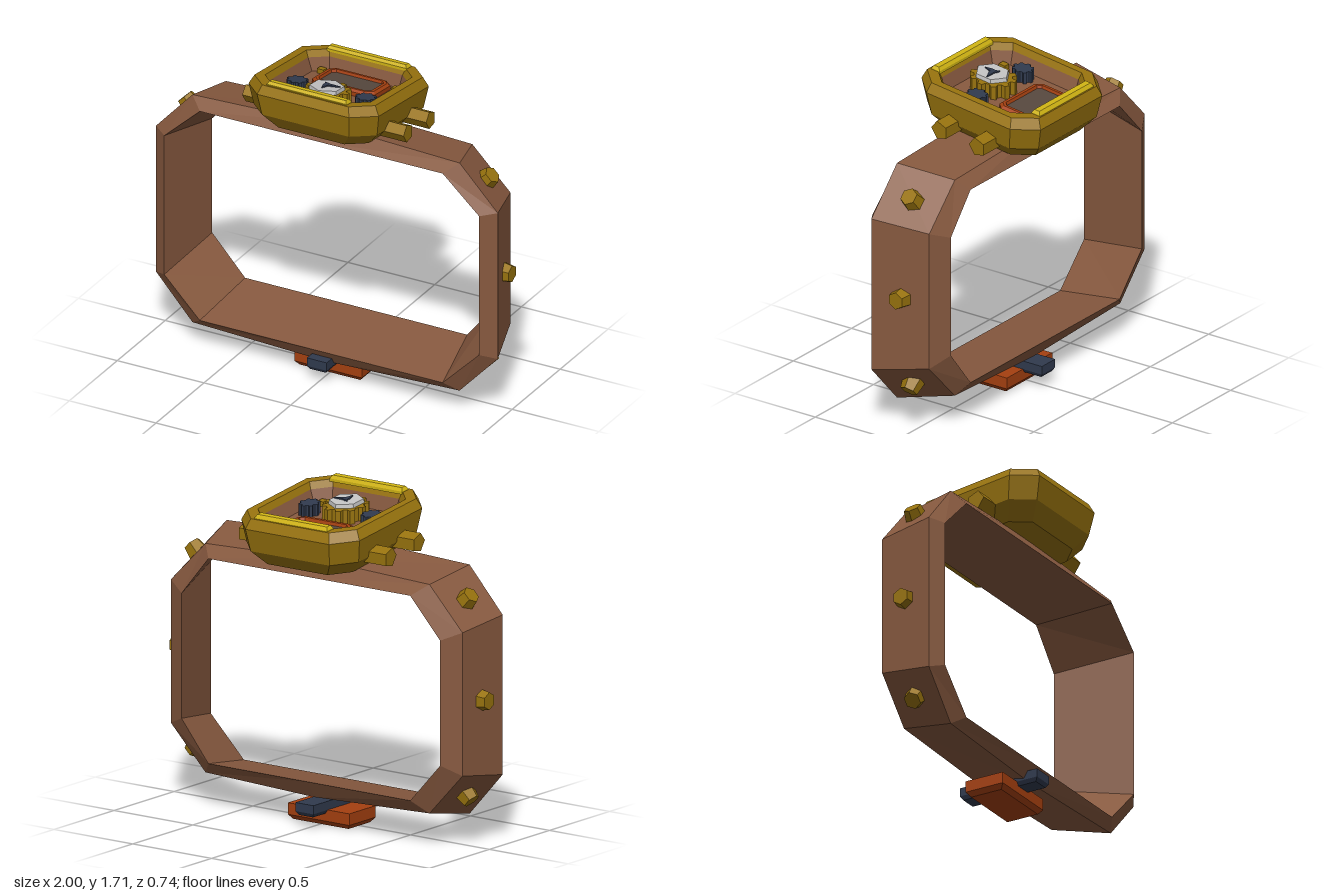
import * as THREE from 'three';

const mat = (name, color) => {
  const m = new THREE.MeshStandardMaterial({ color });
  m.name = name;
  return m;
};

// Flat-faced skin over rings of points; optional end caps, or joined last to first
function loft(rings, { bottom = false, top = false, loop = false } = {}) {
  const pos = [];
  const tri = (...pts) => pts.forEach(p => pos.push(...p));
  const n = rings[0].length, last = rings.length - 1;
  for (let i = 0; i < (loop ? last + 1 : last); i++) {
    const r = rings[i], s = rings[(i + 1) % rings.length];
    for (let j = 0; j < n; j++) {
      const k = (j + 1) % n;
      tri(r[j], r[k], s[k]);
      tri(r[j], s[k], s[j]);
    }
  }
  for (let j = 1; j < n - 1; j++) {
    if (bottom) tri(rings[0][0], rings[0][j + 1], rings[0][j]);
    if (top) tri(rings[last][0], rings[last][j], rings[last][j + 1]);
  }
  const g = new THREE.BufferGeometry();
  g.setAttribute('position', new THREE.Float32BufferAttribute(pos, 3));
  g.computeVertexNormals();
  return g;
}

// Rectangle ring at height y, with corners cut by c
function ring(hx, hz, c, y) {
  if (!c) return [[hx, y, hz], [hx, y, -hz], [-hx, y, -hz], [-hx, y, hz]];
  const a = hx - c, b = hz - c;
  return [[hx, y, b], [hx, y, -b], [a, y, -hz], [-a, y, -hz],
    [-hx, y, -b], [-hx, y, b], [-a, y, hz], [a, y, hz]];
}

// Toothed wheel lying flat with its base at y = 0
function wheel(teeth, rIn, rOut, h) {
  const pts = [];
  for (let i = 0; i < teeth; i++) {
    [[-0.32, rIn], [-0.18, rOut], [0.18, rOut], [0.32, rIn]].forEach(([o, r]) => {
      const a = (i + o) / teeth * Math.PI * 2;
      pts.push(new THREE.Vector2(Math.cos(a) * r, Math.sin(a) * r));
    });
  }
  return new THREE.ExtrudeGeometry(new THREE.Shape(pts), { depth: h, bevelEnabled: false })
    .rotateX(-Math.PI / 2);
}

export function createModel() {
  const model = new THREE.Group();
  model.name = 'wristDevice';
  const leather = mat('brown leather', 0x87593f);
  const brass = mat('dark brass', 0x98730e);
  const yellow = mat('bright yellow', 0xd0b414);
  const rust = mat('rust orange', 0xa54010);
  const glass = mat('dim glass', 0x57483f);
  const navy = mat('navy', 0x303a4e);
  const silver = mat('silver', 0xc4c4c4);

  // The watch head slopes up toward the front
  const slope = new THREE.Matrix4().set(1, 0, 0, 0, 0, 1, 0.13, 0, 0, 0, 1, 0, 0, 0, 0, 1);
  const add = (name, geo, material, sloped = false) => {
    if (geo.index) geo = geo.toNonIndexed();
    if (sloped) geo.applyMatrix4(slope);
    geo.computeVertexNormals();
    const mesh = new THREE.Mesh(geo, material);
    mesh.name = name;
    model.add(mesh);
    return mesh;
  };

  // Strap: ten-point hoops, wider at the front than at the back
  const hoop = (z, l, r, lc, rc, yTop, yBot, yHi, yLo, crown) => [
    [r, yLo, z], [r, yHi, z], [rc, yTop, z], [0, yTop + crown, z], [lc, yTop, z],
    [l, yHi, z], [l, yLo, z], [lc, yBot, z], [0, yBot - crown, z], [rc, yBot, z]];
  add('strap', loft([
    hoop(-0.2, -0.84, 0.8, -0.65, 0.63, 1.305, 0.24, 1.1, 0.45, 0),
    hoop(-0.145, -0.94, 0.91, -0.73, 0.69, 1.365, 0.175, 1.145, 0.4, 0.025),
    hoop(0.15, -0.97, 1.0, -0.76, 0.78, 1.415, 0.12, 1.185, 0.355, 0.028),
    hoop(0.2, -0.895, 0.92, -0.69, 0.71, 1.36, 0.17, 1.17, 0.38, 0),
  ], { loop: true }), leather);

  // Hexagonal studs on the sides and corners
  const up = new THREE.Vector3(0, 1, 0);
  for (const s of [-1, 1]) {
    for (const [x, y, ny] of [[0.955, 0.77, 0], [0.855, 1.275, 1], [0.855, 0.265, -1]]) {
      const dir = new THREE.Vector3(s, ny, 0).normalize();
      const stud = add('strapStud',
        new THREE.CylinderGeometry(0.046, 0.062, 0.09, 6).rotateY(Math.PI / 6), brass);
      stud.quaternion.setFromUnitVectors(up, dir);
      stud.position.set(s * x, y, 0);
    }
  }

  // Clasp under the strap
  add('claspPlate', loft([ring(0.175, 0.09, 0, 0), ring(0.195, 0.11, 0, 0.025),
    ring(0.195, 0.11, 0, 0.085)], { bottom: true, top: true }), rust);
  add('claspBar', loft([ring(0.045, 0.215, 0, 0.065), ring(0.057, 0.228, 0, 0.085),
    ring(0.057, 0.228, 0, 0.13)], { bottom: true, top: true }), navy);

  // Case shell, rim and recessed dial
  add('case', loft([
    ring(0.28, 0.285, 0.09, 1.397), ring(0.355, 0.347, 0.105, 1.475),
    ring(0.375, 0.371, 0.11, 1.595), ring(0.348, 0.348, 0.1, 1.645),
    ring(0.305, 0.3, 0.085, 1.645), ring(0.29, 0.285, 0.08, 1.61),
  ], { bottom: true }), brass, true);
  add('dialBowl', loft([ring(0.29, 0.285, 0.08, 1.61), ring(0.265, 0.265, 0.065, 1.54)],
    { top: true }), leather, true);

  // Bright rails on the front and back of the rim
  for (const z of [-0.315, 0.31]) {
    add('rimRail', loft([ring(0.23, 0.026, 0, 1.635), ring(0.23, 0.026, 0, 1.65),
      ring(0.22, 0.015, 0, 1.666)], { bottom: true, top: true }).translate(0, 0, z), yellow, true);
  }

  // Five-sided pegs on both sides of the case
  for (const s of [-1, 1]) {
    for (const z of [-0.12, 0.115]) {
      add('sidePeg', new THREE.CylinderGeometry(0.05, 0.05, 0.2, 5)
        .rotateZ(-s * Math.PI / 2).translate(s * 0.365, 1.474, z), brass, true);
    }
  }

  // Screen and its frame
  add('screenFrame', loft([ring(0.182, 0.114, 0.035, 1.54), ring(0.182, 0.114, 0.035, 1.562),
    ring(0.168, 0.1, 0.03, 1.575), ring(0.152, 0.085, 0.02, 1.575),
    ring(0.147, 0.08, 0.018, 1.56)]).translate(-0.005, 0, -0.14), rust, true);
  add('screen', loft([ring(0.15, 0.083, 0.02, 1.554), ring(0.15, 0.083, 0.02, 1.56)],
    { top: true }).translate(-0.005, 0, -0.14), glass, true);

  // Corner rivets and side knobs
  for (const s of [-1, 1]) {
    for (const z of [-0.213, 0.205]) {
      add('dialRivet', new THREE.BoxGeometry(0.038, 0.03, 0.038)
        .translate(s * 0.214, 1.55, z), brass, true);
    }
    add('dialKnob', wheel(8, 0.045, 0.056, 0.06).translate(s * 0.197, 1.54, 0.073), navy, true);
  }

  // Gear clock with a silver face and three hands
  add('clockGear', wheel(10, 0.098, 0.12, 0.07).translate(0, 1.54, 0.115), brass, true);
  add('clockFace', new THREE.CylinderGeometry(0.088, 0.092, 0.02, 6)
    .translate(0, 1.62, 0.122), silver, true);
  for (const [angle, length, width] of [[0.12, 0.07, 0.014], [2.5, 0.035, 0.012], [-1.65, 0.055, 0.016]]) {
    const hand = new THREE.Shape([[-0.012, -width], [length * 0.35, -width], [length, 0],
      [length * 0.35, width * 0.6], [-0.012, width * 0.6]].map(p => new THREE.Vector2(...p)));
    add('clockHand', new THREE.ExtrudeGeometry(hand, { depth: 0.008, bevelEnabled: false })
      .rotateX(-Math.PI / 2).rotateY(angle).translate(0, 1.629, 0.115), navy, true);
  }
  return model;
}
